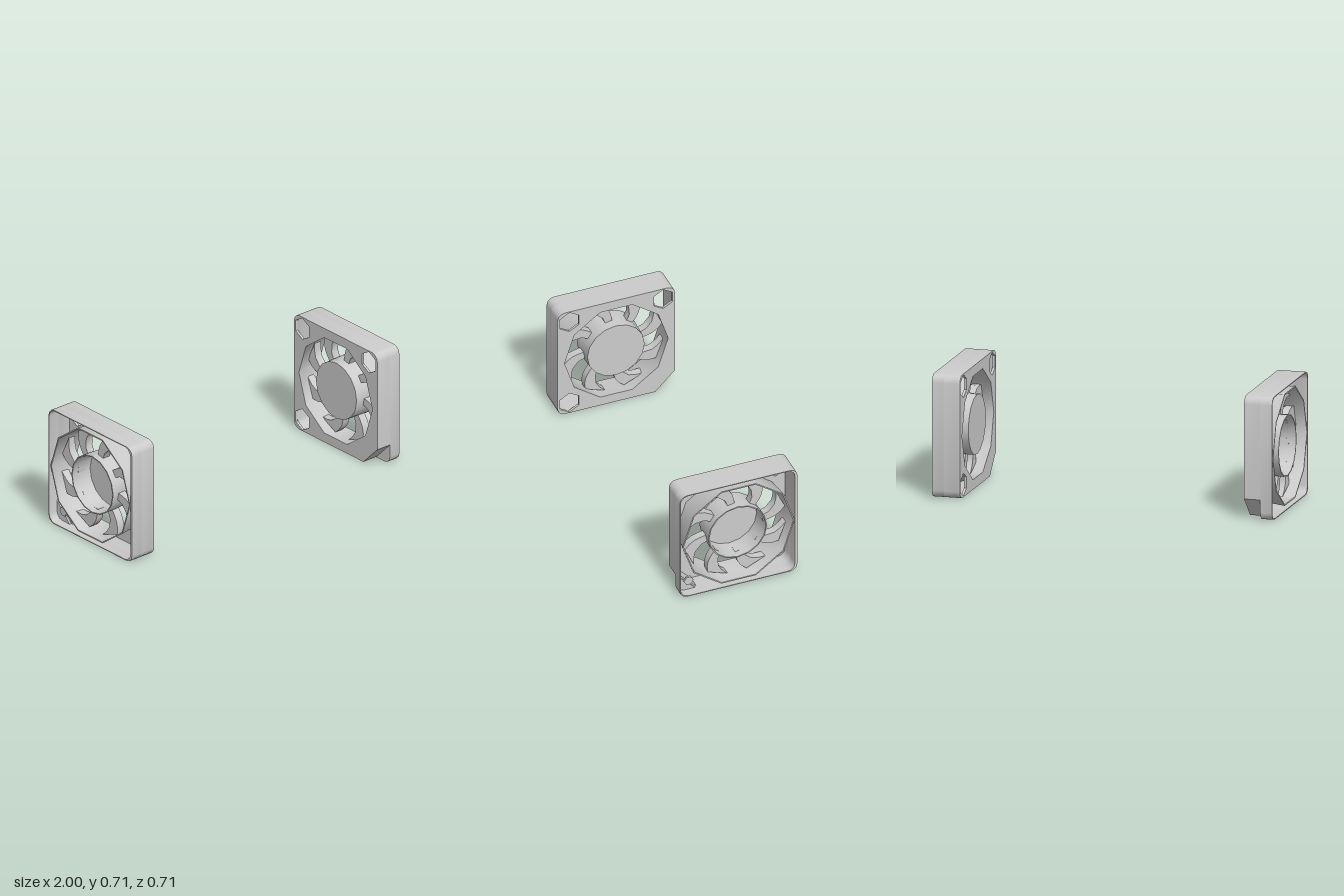
import * as THREE from 'three';
import { toCreasedNormals } from 'three/addons/utils/BufferGeometryUtils.js';

const HALF = 0.357, DEPTH = 0.165, NOTCH = 0.095, CUT = 0.12;
const material = new THREE.MeshStandardMaterial({ color: 0xcccccc, side: THREE.DoubleSide });

const vec = (x, y) => new THREE.Vector2(x, y);

function polygon(cx, cy, r, sides, start) {
  return Array.from({ length: sides }, (_, i) => {
    const a = start + (i / sides) * Math.PI * 2;
    return vec(cx + r * Math.cos(a), cy + r * Math.sin(a));
  });
}

// Square outline with rounded corners; the lower left one can be cut off diagonally
function outline(wall, rightWall, cut) {
  const l = -HALF + wall, r = HALF - rightWall, h = HALF - wall;
  const points = [];
  const corner = (x, y, start) => {
    for (let i = 0; i <= 3; i++) {
      const a = start + (i / 3) * Math.PI / 2;
      points.push(vec(x + 0.045 * Math.cos(a), y + 0.045 * Math.sin(a)));
    }
  };
  corner(r - 0.045, h - 0.045, 0);
  corner(l + 0.045, h - 0.045, Math.PI / 2);
  if (cut) points.push(vec(l, -HALF + CUT + wall * 1.4), vec(-HALF + CUT + wall * 1.4, -h));
  else corner(l + 0.045, -h + 0.045, Math.PI);
  corner(r - 0.045, -h + 0.045, Math.PI * 1.5);
  return points;
}

function slab(name, points, holes, from, to) {
  const shape = new THREE.Shape(points);
  for (const hole of holes) shape.holes.push(new THREE.Path(hole));
  const geometry = new THREE.ExtrudeGeometry(shape, { depth: to - from, bevelEnabled: false });
  geometry.translate(0, 0, from);
  const mesh = new THREE.Mesh(toCreasedNormals(geometry, 0.6), material);
  mesh.name = name;
  return mesh;
}

function turned(name, profile, sides) {
  const points = profile.map(([r, z]) => vec(r, z));
  const geometry = new THREE.LatheGeometry(points, sides, Math.PI / 2);
  geometry.rotateX(Math.PI / 2);
  const mesh = new THREE.Mesh(toCreasedNormals(geometry, 0.7), material);
  mesh.name = name;
  return mesh;
}

// Swept blade: edges given as [radius, degrees from upright]
function bladePoints(spin) {
  const leading = [[0.168, 0], [0.21, 2], [0.244, 4], [0.28, 8], [0.312, 13]];
  const trailing = [[0.312, 37], [0.285, 29], [0.26, 22.6], [0.214, 16], [0.168, 14.5]];
  return [...leading, ...trailing].map(([r, degrees]) => {
    const a = THREE.MathUtils.degToRad(degrees);
    return vec(-spin * r * Math.sin(a), r * Math.cos(a));
  });
}

function createFan(spin) {
  const fan = new THREE.Group();
  const c = 0.285;

  // Closed face with the air opening and three hexagonal screw holes
  const screwHoles = [[-c, c], [c, c], [c, -c]].map(([x, y]) => polygon(x, y, 0.066, 6, Math.PI / 6));
  fan.add(slab('facePlate', outline(0, 0, true),
    [polygon(0, 0, 0.32, 10, 0), ...screwHoles], 0, 0.015));

  // Thin outer walls, notched at one corner for the cable
  fan.add(slab('lowerWalls', outline(0, 0, true), [outline(0.005, 0.014, true)], 0.015, NOTCH));
  fan.add(slab('upperWalls', outline(0, 0, false), [outline(0.005, 0.014, false)], NOTCH, DEPTH));
  const tab = [vec(-HALF, -HALF + CUT), vec(-HALF, -HALF + 0.045), vec(-HALF + 0.014, -HALF + 0.014),
    vec(-HALF + 0.045, -HALF), vec(-HALF + CUT, -HALF)];
  fan.add(slab('notchTab', tab, [], NOTCH, NOTCH + 0.012));
  fan.add(slab('notchPeg', polygon(-c, -c, 0.029, 6, 0), [], NOTCH + 0.012, NOTCH + 0.025));

  // Ten-sided air duct
  fan.add(turned('duct',
    [[0.32, 0], [0.341, DEPTH], [0.333, DEPTH], [0.315, 0], [0.32, 0]], 10));

  // Cup-shaped hub, closed on the plate side
  fan.add(turned('hub',
    [[0, 0.005], [0.174, 0.005], [0.179, 0.15], [0.172, 0.15], [0.168, 0.02], [0, 0.02]], 16));

  // Eight blades
  for (let i = 0; i < 8; i++) {
    const blade = slab('blade', bladePoints(spin), [], 0.06, 0.108);
    blade.rotation.z = (i * Math.PI) / 4;
    fan.add(blade);
  }
  return fan;
}

export function createModel() {
  const model = new THREE.Group();
  model.name = 'fanPair';
  // Two fans facing away from each other, turning opposite ways
  for (const side of [1, -1]) {
    const fan = createFan(side);
    fan.name = side > 0 ? 'leftFan' : 'rightFan';
    fan.rotation.y = (side * Math.PI) / 2;
    fan.position.set(side * (1 - DEPTH), HALF, 0);
    model.add(fan);
  }
  return model;
}
